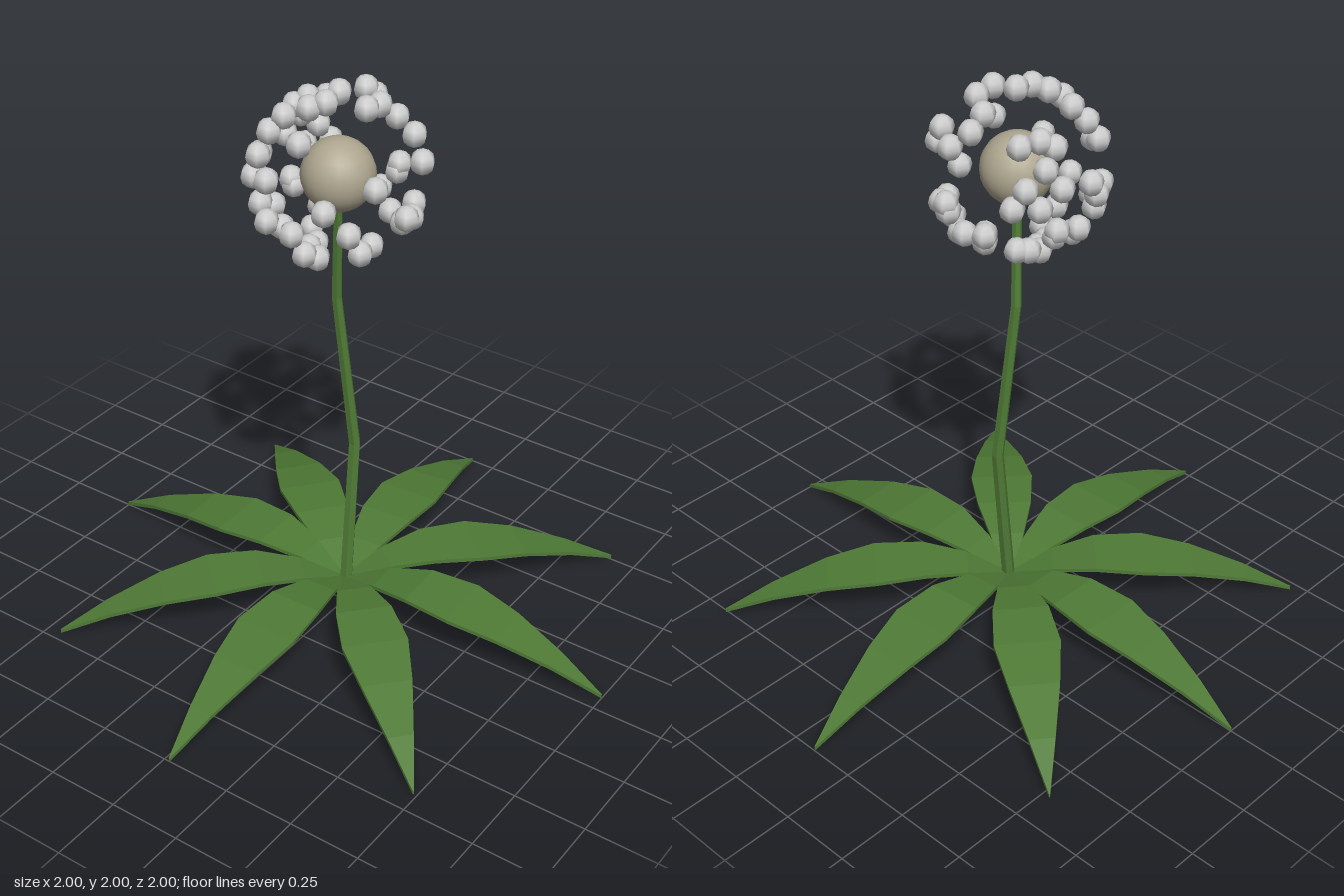
import * as THREE from 'three';

const green = new THREE.MeshStandardMaterial({ color: 0x4f7a36, flatShading: true });
green.name = 'leaf green';
const taupe = new THREE.MeshStandardMaterial({ color: 0xaea68f });
taupe.name = 'seed head taupe';
const paleGrey = new THREE.MeshStandardMaterial({ color: 0xcccccc });
paleGrey.name = 'puff pale grey';

const HEAD = new THREE.Vector3(-0.035, 1.685, 0);
const SHELL = 0.267;

// Leaf rows from the centre outwards: distance, height, half width
const LEAF_ROWS = [
  [0, 0.1, 0.02], [0.15, 0.155, 0.06], [0.3, 0.181, 0.096], [0.47, 0.174, 0.112],
  [0.64, 0.143, 0.085], [0.83, 0.083, 0.043], [1, 0.008, 0.002],
];
// Leaf tips as x, z
const LEAF_TIPS = [
  [0, -1], [0.63, -0.78], [1, -0.09], [0.75, 0.65],
  [0.06, 1], [-0.67, 0.73], [-1, 0.02], [-0.71, -0.69],
];
// Stem rings from the bottom: x, y, z, radius
const STEM_RINGS = [
  [0, 0.09, 0.005, 0.023], [0.055, 0.64, 0.002, 0.021],
  [0.005, 1.22, -0.035, 0.018], [-0.035, 1.6, 0, 0.015],
];
// Puffs on the front and back halves: x, y in hundredths of the shell radius
const FRONT_PUFFS = [
  [-76, 66], [-24, 98], [2, 102], [0, 92], [26, 88], [56, 88], [84, 48], [54, 48], [44, 22],
  [-48, 22], [-90, -2], [-92, -40], [-70, -32], [0, -30], [-68, -76], [-42, -92], [-42, -68],
  [20, -92], [62, -44], [94, -28], [96, -18], [68, -68], [88, -52], [48, -66], [40, -50],
];
const BACK_PUFFS = [
  [-56, 60], [-44, 78], [-36, 92], [76, 72], [54, 64], [32, 68], [20, 60], [-92, 18],
  [-50, -6], [-76, -44], [-48, -40], [-22, -94], [-6, -96], [-30, -74], [26, -48], [52, -4],
  [76, -2], [84, -46], [52, -70], [78, -58], [10, -88], [-20, 8], [26, 16], [-36, -14],
  [26, -40], [-18, -56], [40, -72], [40, 40], [64, 20], [-70, 34],
];

// Moves every vertex of a geometry by a rule
function reshape(geometry, rule) {
  const p = geometry.attributes.position;
  const v = new THREE.Vector3();
  for (let i = 0; i < p.count; i++) {
    rule(v.fromBufferAttribute(p, i));
    p.setXYZ(i, v.x, v.y, v.z);
  }
  const flat = geometry.toNonIndexed();
  flat.computeVertexNormals();
  return flat;
}

function addMesh(parent, geometry, material, name) {
  const mesh = new THREE.Mesh(geometry, material);
  mesh.name = name;
  parent.add(mesh);
  return mesh;
}

export function createModel() {
  const model = new THREE.Group();
  model.name = 'dandelion plant';

  // Rosette of arching pointed leaves
  const leaves = new THREE.Group();
  leaves.name = 'leaves';
  model.add(leaves);
  const last = LEAF_ROWS.length - 1;
  const leafGeometry = reshape(new THREE.BoxGeometry(1, 0.014, 1, 1, 1, last), (v) => {
    const [distance, height, half] = LEAF_ROWS[Math.round((v.z + 0.5) * last)];
    v.set(v.x * 2 * half, v.y + height, distance);
  });
  for (const [x, z] of LEAF_TIPS) {
    addMesh(leaves, leafGeometry, green, 'leaf').rotation.y = Math.atan2(x, z);
  }

  // Bent, tapering stem
  const bends = STEM_RINGS.length - 1;
  const stemGeometry = reshape(new THREE.CylinderGeometry(1, 1, 1, 6, bends), (v) => {
    const [x, y, z, radius] = STEM_RINGS[Math.round((v.y + 0.5) * bends)];
    v.set(x + v.x * radius, y, z + v.z * radius);
  });
  addMesh(model, stemGeometry, green, 'stem');

  // Round seed head
  addMesh(model, new THREE.SphereGeometry(0.12, 20, 14), taupe, 'seedHead').position.copy(HEAD);

  // Small puffs floating in a shell around the seed head
  const puffs = new THREE.Group();
  puffs.name = 'puffs';
  puffs.position.copy(HEAD);
  model.add(puffs);
  const puffGeometry = new THREE.SphereGeometry(0.042, 6, 6).rotateY(Math.PI / 6);
  const scatter = (spots, side) => {
    for (const [px, py] of spots) {
      const x = px / 100, y = py / 100;
      const z = side * Math.sqrt(Math.max(0, 1 - x * x - y * y));
      addMesh(puffs, puffGeometry, paleGrey, 'puff').position.set(x, y, z).multiplyScalar(SHELL);
    }
  };
  scatter(FRONT_PUFFS, 1);
  scatter(BACK_PUFFS, -1);

  return model;
}
